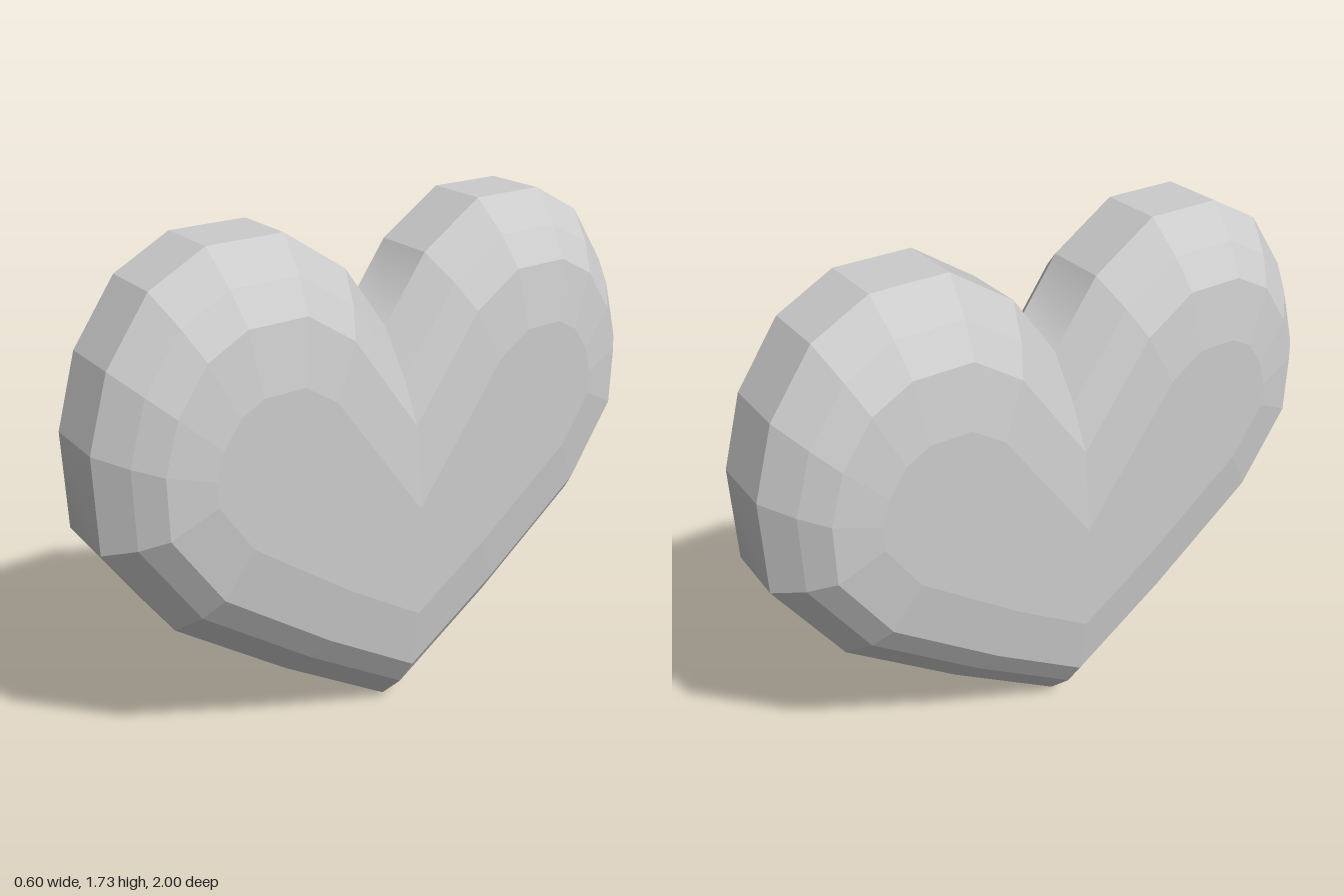
import * as THREE from 'three';

// Half outline as [z, y], from the bottom tip round the lobe to the notch
const HALF = [
  [0, 0], [0.4, 0.27], [0.79, 0.57], [1, 0.9], [1, 1.21], [0.93, 1.44],
  [0.79, 1.635], [0.61, 1.73], [0.36, 1.73], [0.15, 1.59], [0, 1.38],
];
const OUTLINE = [...HALF, ...HALF.slice(1, -1).reverse().map(([z, y]) => [-z, y])];
const N = OUTLINE.length;
const STRETCH = 1.4; // the bevel is this much deeper vertically
const INSET = 0.28;
// Bevel cross-section as [x, share of the inset], from flat face to rim
const BEVEL = [[0.3, 1], [0.272, 0.5], [0.205, 0.25], [0.105, 0]];

// Inward mitre vector at each outline point
const mitres = OUTLINE.map((p, i) => {
  const normal = (a, b) =>
    new THREE.Vector2(-(b[1] - a[1]) / STRETCH, b[0] - a[0]).normalize();
  const n1 = normal(OUTLINE[(i + N - 1) % N], p);
  const n2 = normal(p, OUTLINE[(i + 1) % N]);
  return n1.clone().add(n2).divideScalar(1 + n1.dot(n2));
});

function ring([x, share]) {
  return OUTLINE.map(([z, y], i) => new THREE.Vector3(
    x,
    y + mitres[i].y * INSET * share * STRETCH,
    z + mitres[i].x * INSET * share,
  ));
}

// Faceted bevel and flat face on one side
function sideGeometry(sign) {
  const rings = BEVEL.map(([x, share]) => ring([x * sign, share]));
  const points = [];
  const tri = (a, b, c) => points.push(...(sign > 0 ? [a, b, c] : [a, c, b]));
  for (let k = 0; k < rings.length - 1; k++) {
    for (let i = 0; i < N; i++) {
      const j = (i + 1) % N;
      const [a, b, c, d] = [rings[k][i], rings[k][j], rings[k + 1][j], rings[k + 1][i]];
      tri(a, b, c);
      tri(a, c, d);
    }
  }
  const face = rings[0];
  const contour = face.map((p) => new THREE.Vector2(p.z, p.y));
  for (const [a, b, c] of THREE.ShapeUtils.triangulateShape(contour, [])) {
    tri(face[a], face[c], face[b]);
  }
  const geometry = new THREE.BufferGeometry().setFromPoints(points);
  geometry.computeVertexNormals();
  return geometry;
}

// Strip of the rim over outline points from..to, smooth within the strip
function rimGeometry(from, to) {
  const x = BEVEL[BEVEL.length - 1][0];
  const points = [];
  const index = [];
  for (let i = from; i <= to; i++) {
    const [z, y] = OUTLINE[i % N];
    points.push(new THREE.Vector3(x, y, z), new THREE.Vector3(-x, y, z));
    if (i < to) {
      const a = (i - from) * 2;
      index.push(a, a + 2, a + 3, a, a + 3, a + 1);
    }
  }
  const geometry = new THREE.BufferGeometry().setFromPoints(points);
  geometry.setIndex(index);
  geometry.computeVertexNormals();
  return geometry;
}

export function createModel() {
  const heart = new THREE.Group();
  heart.name = 'heart';
  const smooth = new THREE.MeshStandardMaterial({ color: 0xcccccc });
  const faceted = new THREE.MeshStandardMaterial({ color: 0xcccccc, flatShading: true });
  const add = (name, geometry, material) => {
    const mesh = new THREE.Mesh(geometry, material);
    mesh.name = name;
    heart.add(mesh);
  };

  // Bevelled faces
  add('leftFace', sideGeometry(1), faceted);
  add('rightFace', sideGeometry(-1), faceted);

  // Rim: smooth lower flanks and notch, faceted lobes
  add('frontLowerRim', rimGeometry(0, 4), smooth);
  add('backLowerRim', rimGeometry(16, 20), smooth);
  add('notchRim', rimGeometry(9, 11), smooth);
  add('frontLobeRim', rimGeometry(4, 9), faceted);
  add('backLobeRim', rimGeometry(11, 16), faceted);
  return heart;
}
